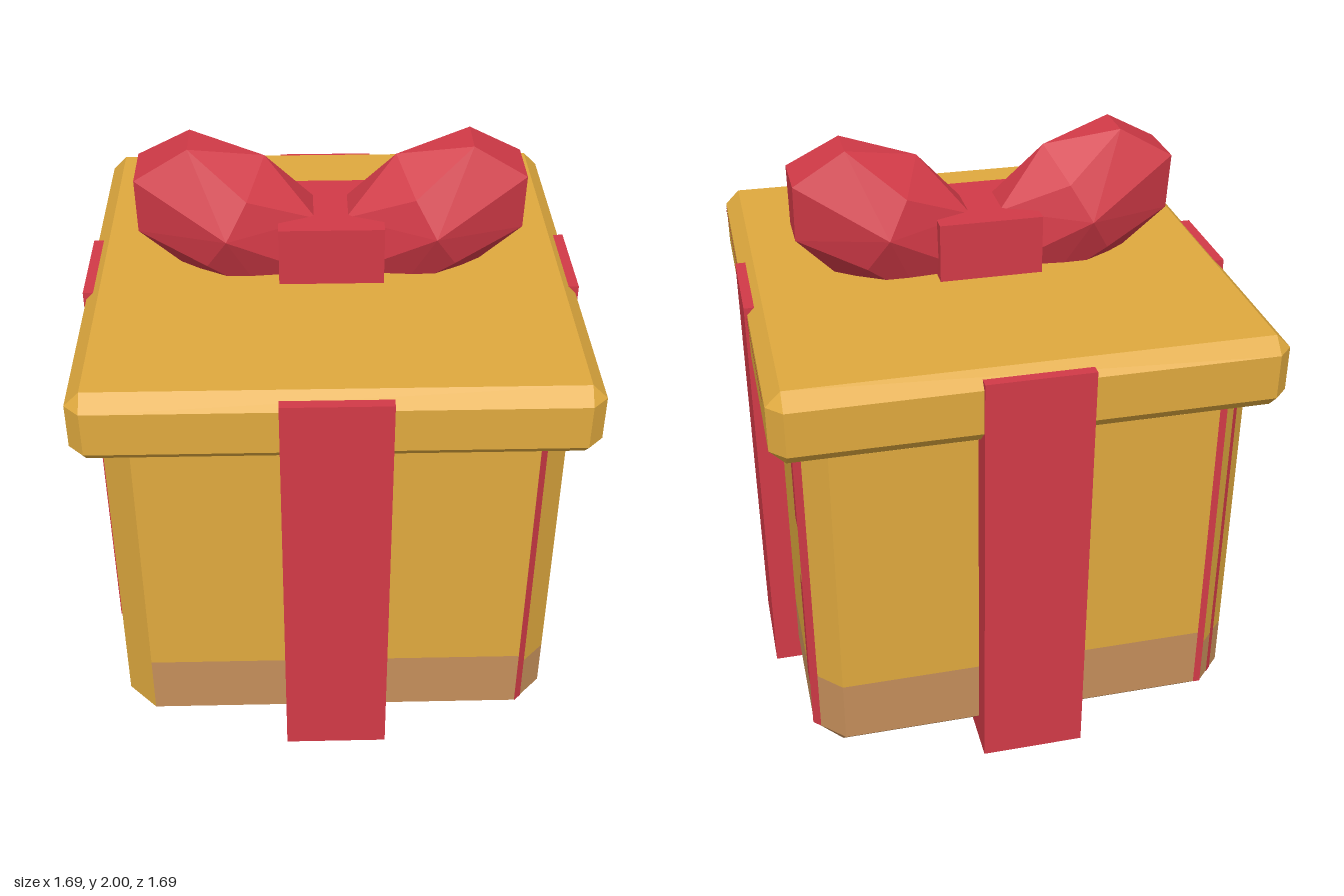
import * as THREE from 'three';
import { ConvexGeometry } from 'three/addons/geometries/ConvexGeometry.js';

const mat = (name, color) => {
  const m = new THREE.MeshStandardMaterial({ color });
  m.name = name;
  return m;
};

// Flat polygons as separate faces, each turned outwards from the given centre height
function facesGeometry(polys, midY) {
  const out = [];
  for (const poly of polys) {
    let p = poly.map((c) => new THREE.Vector3(...c));
    const n = p[1].clone().sub(p[0]).cross(p[2].clone().sub(p[0]));
    if (n.dot(p[0].clone().setY(p[0].y - midY)) < 0) p = p.reverse();
    for (let i = 1; i < p.length - 1; i++) {
      for (const v of [p[0], p[i], p[i + 1]]) out.push(v.x, v.y, v.z);
    }
  }
  const g = new THREE.BufferGeometry();
  g.setAttribute('position', new THREE.Float32BufferAttribute(out, 3));
  g.computeVertexNormals();
  return g;
}

// Corner points of a box with all edges chamfered by c
function chamferPoints(h, y0, y1, c) {
  const e = h - c, pts = [];
  for (const x of [-1, 1]) for (const z of [-1, 1]) {
    for (const y of [y0, y1]) pts.push(new THREE.Vector3(x * e, y, z * e));
    for (const y of [y0 + c, y1 - c]) {
      pts.push(new THREE.Vector3(x * h, y, z * e), new THREE.Vector3(x * e, y, z * h));
    }
  }
  return pts;
}

export function createModel() {
  const gold = mat('gold', 0xdfa93e);
  const tan = mat('tan', 0xc48e5a);
  const red = mat('red', 0xd23a47);
  const model = new THREE.Group();
  const add = (name, geo, material, parent = model) => {
    const m = new THREE.Mesh(geo, material);
    m.name = name;
    parent.add(m);
    return m;
  };

  // Body: eight upright sides with a tan band of varying height at the foot
  const H = 0.755, E = 0.655, C = 0.1, TOP = 1.37;
  const ring = [[-E, H], [E, H], [H, E], [H, -E], [E, -H], [-E, -H], [-H, -E], [-H, E]];
  const bandTop = [0.33, 0.28, 0.28, 0.33, 0.33, 0.28, 0.28, C];
  const goldFaces = [], tanFaces = [];
  const inset = ([x, z], y) => [Math.sign(x) * E, y, Math.sign(z) * E];
  ring.forEach((a, i) => {
    const b = ring[(i + 1) % 8], t = bandTop[i];
    const wall = (lo, hi) => [[a[0], lo, a[1]], [b[0], lo, b[1]], [b[0], hi, b[1]], [a[0], hi, a[1]]];
    goldFaces.push(wall(t, TOP - C));
    if (t > C) tanFaces.push(wall(C, t));
    for (const [y, edge, list] of [[0, C, tanFaces], [TOP, TOP - C, goldFaces]]) {
      const slope = [[a[0], edge, a[1]], [b[0], edge, b[1]], inset(b, y)];
      if (i % 2 === 0) slope.push(inset(a, y)); // corners close in a triangle
      list.push(slope);
    }
  });
  const square = (y) => [[-E, y, -E], [E, y, -E], [E, y, E], [-E, y, E]];
  tanFaces.push(square(0));
  goldFaces.push(square(TOP));
  add('body', facesGeometry(goldFaces, TOP / 2), gold);
  add('bodyFoot', facesGeometry(tanFaces, TOP / 2), tan);

  // Lid
  add('lid', new ConvexGeometry(chamferPoints(0.835, 1.29, 1.545, 0.05)), gold);

  // Ribbon straps down each side
  for (let i = 0; i < 4; i++) {
    const strap = add('ribbonStrap', new THREE.BoxGeometry(0.355, 1.52, 0.19).translate(0, 0.76, 0.75), red);
    strap.rotation.y = (i * Math.PI) / 2;
  }

  // Thin red marks along the body corners and lid: two ends in plan, then heights
  const o = 0.003;
  const marks = [
    [[E, H + o], [E + 0.025, H - 0.025 + o], C, 1.29],
    [[H + o, -E], [H - 0.025 + o, -E - 0.025], C, 1.29],
    [[H + o, -E], [H + o, -0.59], 0.28, 0.72],
    [[H + o, -E], [H + o, -0.59], 0.95, 1.29],
    [[-E, -H - o], [-E + 0.025, -H - o], C, 1.29],
    [[-E - 0.04, -H + 0.04 - o], [-E - 0.06, -H + 0.06 - o], C, 1.29],
    [[-H - o, E], [-H - o, E - 0.025], C, 1.29],
    [[0.838, 0.785], [0.838, -0.72], 1.475, 1.49],
  ].map(([a, b, lo, hi]) => [[a[0], lo, a[1]], [b[0], lo, b[1]], [b[0], hi, b[1]], [a[0], hi, a[1]]]);
  marks.push([[E + o, 0, -E], [E + o, 0, E], [E + 0.06 + o, 0.06, E], [E + 0.06 + o, 0.06, -E]]);
  add('redTrim', facesGeometry(marks, TOP / 2), red);

  // Bow: square knot and two faceted loops
  const bow = new THREE.Group();
  bow.name = 'bow';
  model.add(bow);
  add('knot', new THREE.BoxGeometry(0.355, 0.23, 0.355).translate(0, 1.635, 0), red, bow);
  // Half of a loop's corners, completed by point reflection about (0.35, 1.72)
  const half = [[0.22, 1.94, 0], [0.47, 2, 0.075], [0.65, 1.9, 0.1], [0.65, 1.7, 0.075], [0.28, 1.84, 0.145], [0.35, 1.72, 0.2]];
  for (const s of [-1, 1]) {
    const pts = [];
    for (const [x, y, z] of half) for (const d of [-1, 1]) {
      pts.push(new THREE.Vector3(s * x, y, d * z), new THREE.Vector3(s * (0.7 - x), 3.44 - y, d * z));
    }
    add(s > 0 ? 'leftLoop' : 'rightLoop', new ConvexGeometry(pts), red, bow);
  }
  return model;
}
